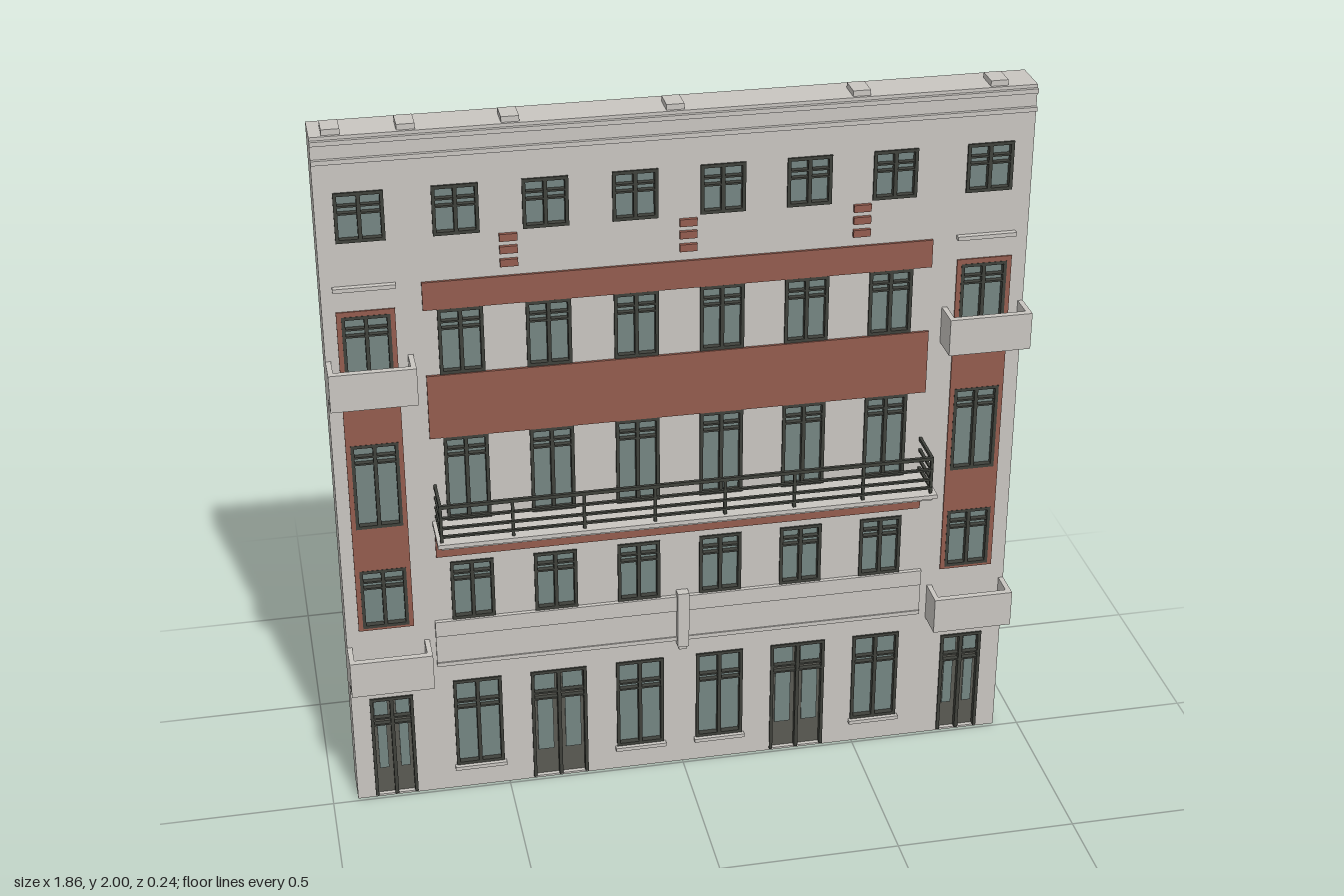
import * as THREE from 'three';

const mat = (name, color) => {
  const m = new THREE.MeshStandardMaterial({ color });
  m.name = name;
  return m;
};

export function createModel() {
  const plaster = mat('plaster', 0xc8c5c0);
  const brick = mat('brick red', 0x935c4e);
  const glass = mat('window glass', 0x748582);
  const frame = mat('dark frame', 0x3e403a);
  const doorPaint = mat('door paint', 0x5a5a52);
  const model = new THREE.Group();
  model.name = 'apartmentFacade';

  // Box given by its two corners
  function box(parent, name, m, x0, x1, y0, y1, z0, z1) {
    const mesh = new THREE.Mesh(new THREE.BoxGeometry(x1 - x0, y1 - y0, z1 - z0), m);
    mesh.position.set((x0 + x1) / 2, (y0 + y1) / 2, (z0 + z1) / 2);
    mesh.name = name;
    parent.add(mesh);
    return mesh;
  }

  // Flat slab with rectangular openings
  function slab(name, m, x0, x1, y0, y1, z0, z1, holes) {
    const rect = (P, a, b, c, d) => {
      const p = new P();
      p.moveTo(a, c); p.lineTo(b, c); p.lineTo(b, d); p.lineTo(a, d); p.closePath();
      return p;
    };
    const s = rect(THREE.Shape, x0, x1, y0, y1);
    for (const h of holes) s.holes.push(rect(THREE.Path, h.x - h.w / 2, h.x + h.w / 2, h.y0, h.y1));
    const mesh = new THREE.Mesh(new THREE.ExtrudeGeometry(s, { depth: z1 - z0, bevelEnabled: false }), m);
    mesh.position.z = z0;
    mesh.name = name;
    model.add(mesh);
  }

  // Openings: upper storeys, then the ground floor
  const inner = [-0.58, -0.352, -0.122, 0.106, 0.333, 0.561];
  const outer = [-0.82, 0.815];
  const openings = [];
  for (const [y0, y1] of [[1.7, 1.835], [1.31, 1.496], [0.873, 1.125], [0.562, 0.743]])
    for (const x of [...inner, ...outer])
      openings.push({ x, w: outer.includes(x) ? 0.125 : 0.118, y0, y1, drop: 0.04 });
  inner.forEach((x, i) => {
    const door = i === 1 || i === 4;
    openings.push({ x, w: door ? 0.157 : 0.135, y0: door ? 0.006 : 0.078, y1: 0.36, drop: 0.075, door });
  });
  for (const x of outer) openings.push({ x, w: 0.12, y0: 0.006, y1: 0.33, drop: 0.07, door: true });

  // Main wall, open behind every window and door
  slab('wall', plaster, -0.93, 0.93, 0, 1.985, -0.12, -0.01, openings);

  // Windows and doors
  for (const o of openings) {
    const g = new THREE.Group();
    g.name = o.door ? 'door' : 'window';
    model.add(g);
    const l = o.x - o.w / 2, r = o.x + o.w / 2, t = 0.009, z0 = -0.024, z1 = -0.005;
    box(g, 'pane', o.door ? doorPaint : glass, l, r, o.y0, o.y1, -0.03, -0.022);
    box(g, 'frameLeft', frame, l, l + t, o.y0, o.y1, z0, z1);
    box(g, 'frameRight', frame, r - t, r, o.y0, o.y1, z0, z1);
    box(g, 'frameTop', frame, l + t, r - t, o.y1 - t, o.y1, z0, z1);
    box(g, 'mullion', frame, o.x - 0.005, o.x + 0.005, o.y0, o.y1 - t, z0, z1);
    for (const s of [0, 0.02])
      box(g, 'transom', frame, l + t, r - t, o.y1 - o.drop - s, o.y1 - o.drop - s + 0.005, z0, z1 - 0.002);
    if (o.door) {
      // Leaf glazing and upper lights
      for (const s of [-1, 1]) {
        const c = o.x + s * o.w / 4, h = o.w / 4 - 0.017;
        box(g, 'leafGlass', glass, c - h, c + h, 0.09, o.y1 - o.drop - 0.022, -0.024, -0.018);
        box(g, 'upperLight', glass, c - h - 0.006, c + h + 0.006, o.y1 - o.drop + 0.008, o.y1 - t, -0.024, -0.018);
      }
    } else {
      box(g, 'frameBottom', frame, l + t, r - t, o.y0, o.y0 + t, z0, z1);
      if (o.y0 < 0.1) box(g, 'sill', plaster, l - 0.005, r + 0.005, 0.066, 0.077, -0.02, 0.005);
    }
  }

  // Red bands across the middle and red strips at the sides
  for (const [y0, y1] of [[1.497, 1.575], [1.126, 1.309], [0.764, 0.856]])
    box(model, 'redBand', brick, -0.675, 0.67, y0, y1, -0.011, -0.003);
  for (const x of outer)
    slab('redStrip', brick, x - 0.075, x + 0.075, 0.555, 1.51, -0.011, -0.006,
      openings.filter(o => o.x === x && o.y0 > 0.55 && o.y1 < 1.6));

  // Stacked red ornaments
  for (const x of [-0.45, 0.015, 0.475])
    for (const y of [1.682, 1.648, 1.612])
      box(model, 'redOrnament', brick, x - 0.023, x + 0.023, y - 0.01, y + 0.01, -0.012, 0);

  // Cornice mouldings, ledges over the side strips, roof blocks
  for (const y of [1.92, 1.97])
    box(model, 'corniceMoulding', plaster, -0.93, 0.93, y - 0.006, y + 0.006, -0.012, 0);
  for (const x of outer)
    box(model, 'ledge', plaster, x - 0.08, x + 0.08, 1.57, 1.581, -0.012, 0.006);
  for (const x of [-0.876, -0.692, -0.433, -0.016, 0.466, 0.83])
    box(model, 'roofBlock', plaster, x - 0.023, x + 0.023, 1.984, 2, -0.083, -0.018);

  // Hollow side balconies
  for (const s of [-1, 1])
    for (const [y0, y1] of [[1.27, 1.374], [0.398, 0.504]]) {
      const g = new THREE.Group();
      g.name = 'sideBalcony';
      model.add(g);
      const a = s < 0 ? -0.93 : 0.705, b = a + 0.225;
      box(g, 'floor', plaster, a, b, y0, y0 + 0.02, -0.011, 0.075);
      box(g, 'parapetFront', plaster, a, b, y0 + 0.02, y1, 0.057, 0.075);
      box(g, 'parapetLeft', plaster, a, a + 0.014, y0 + 0.02, y1, -0.011, 0.057);
      box(g, 'parapetRight', plaster, b - 0.014, b, y0 + 0.02, y1, -0.011, 0.057);
    }

  // Decorated panel over the ground floor with a central fin
  box(model, 'frieze', plaster, -0.688, 0.683, 0.42, 0.562, -0.012, -0.002);
  box(model, 'friezeTop', plaster, -0.688, 0.683, 0.515, 0.562, -0.012, 0.002);
  box(model, 'friezeBottom', plaster, -0.688, 0.683, 0.418, 0.43, -0.012, 0.002);
  box(model, 'centralFin', plaster, -0.018, 0.014, 0.405, 0.578, -0.012, 0.016);
  box(model, 'finFoot', plaster, -0.013, 0.009, 0.392, 0.405, -0.012, 0.008);

  // Long balcony with metal railing
  const balcony = new THREE.Group();
  balcony.name = 'longBalcony';
  model.add(balcony);
  box(balcony, 'balconySlab', plaster, -0.68, 0.68, 0.862, 0.874, -0.011, 0.12);
  box(balcony, 'slabUnderside', plaster, -0.67, 0.67, 0.853, 0.862, -0.011, 0.11);
  for (const [y, h] of [[0.98, 0.005], [0.946, 0.003], [0.916, 0.003], [0.89, 0.003]]) {
    box(balcony, 'frontRail', frame, -0.672, 0.668, y - h, y + h, 0.1, 0.109);
    for (const x of [-0.672, 0.66])
      box(balcony, 'sideRail', frame, x, x + 0.008, y - h, y + h, -0.011, 0.1);
  }
  for (let i = 0; i < 8; i++) {
    const x = -0.668 + i * 0.1903;
    box(balcony, 'railPost', frame, x - 0.004, x + 0.004, 0.872, 0.98, 0.099, 0.108);
  }
  return model;
}
